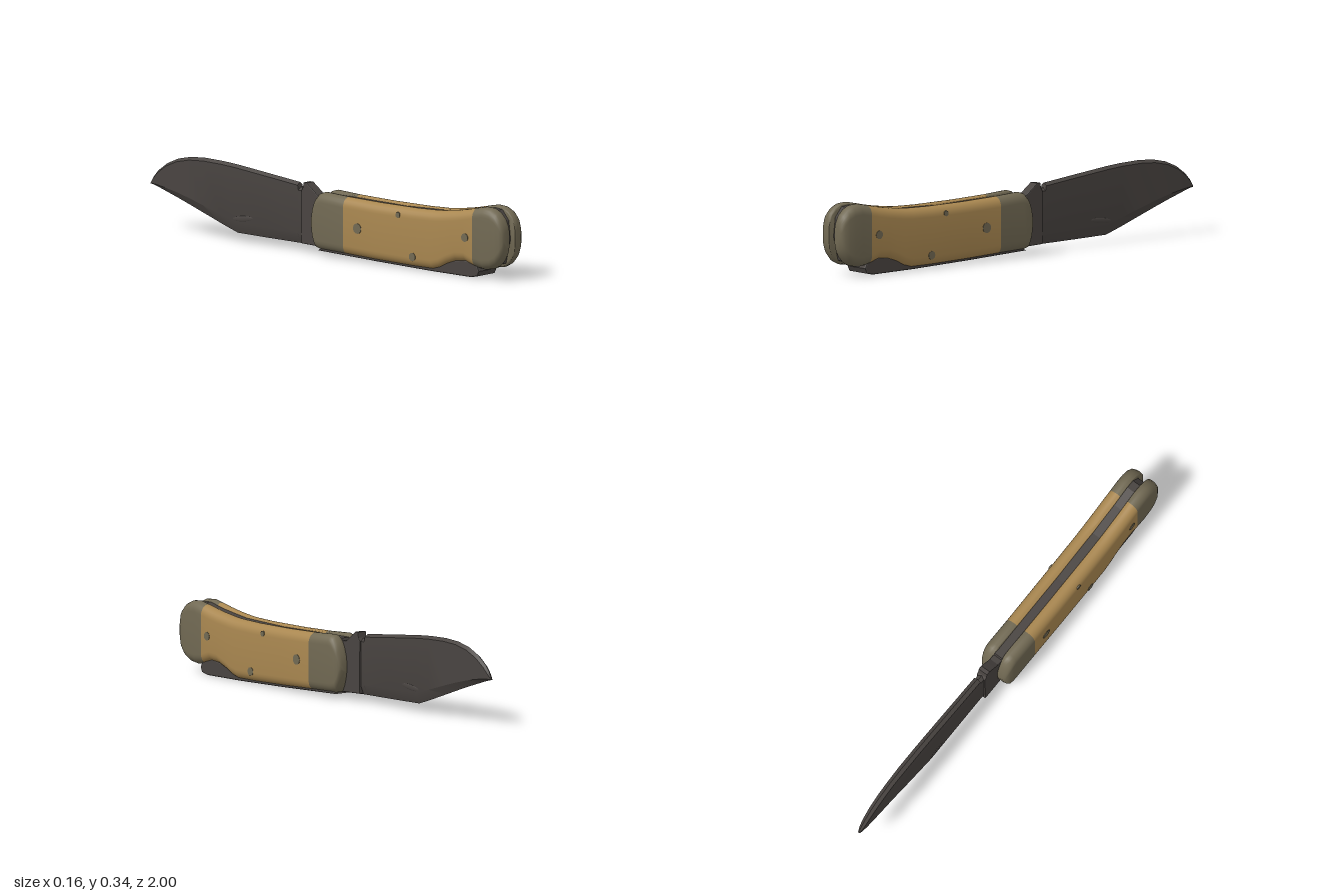
import * as THREE from 'three';
import { toCreasedNormals } from 'three/addons/utils/BufferGeometryUtils.js';

const mat = (name, color) => {
  const m = new THREE.MeshStandardMaterial({ color });
  m.name = name;
  return m;
};

// Skin over cross-sections running from front (+z) to back; rings go counter-clockwise seen from the front
function loft(rings, crease) {
  const n = rings[0].length, last = rings.length - 1, pos = rings.flat(2), idx = [];
  for (let i = 0; i < last; i++) {
    for (let j = 0; j < n; j++) {
      const k = (j + 1) % n, a = i * n + j, b = i * n + k;
      idx.push(a, a + n, b, b, a + n, b + n);
    }
  }
  for (let j = 1; j < n - 1; j++) {
    idx.push(0, j, j + 1, last * n, last * n + j + 1, last * n + j);
  }
  const geo = new THREE.BufferGeometry();
  geo.setAttribute('position', new THREE.Float32BufferAttribute(pos, 3));
  geo.setIndex(idx);
  return toCreasedNormals(geo, crease);
}

// Handle cheek cross-section: large rounding outside, small rounding inside
function cheekRing([z, top, bottom, outer], side) {
  const inner = 0.018, h = top - bottom, pts = [];
  const ro = Math.min(0.036, (outer - inner) * 0.65), ri = 0.012;
  const ryo = Math.min(0.042, h * 0.45), ryi = Math.min(ri, h * 0.4);
  const corners = [
    [outer - ro, bottom + ryo, ro, ryo], [outer - ro, top - ryo, ro, ryo],
    [inner + ri, top - ryi, ri, ryi], [inner + ri, bottom + ryi, ri, ryi],
  ];
  corners.forEach(([cx, cy, rx, ry], c) => {
    for (let s = 0; s <= 6; s++) {
      const t = (c - 1 + s / 6) * Math.PI / 2;
      pts.push([side * (cx + rx * Math.cos(t)), cy + ry * Math.sin(t), z]);
    }
  });
  return side > 0 ? pts : pts.reverse();
}

// Side profile of [z, y] points extruded across x
function plate(points, width, bevel) {
  const shape = new THREE.Shape(points.map(([z, y]) => new THREE.Vector2(-z, y)));
  const geo = new THREE.ExtrudeGeometry(shape, {
    depth: width - 2 * bevel, bevelEnabled: bevel > 0, bevelThickness: bevel,
    bevelSize: bevel, bevelOffset: -bevel, bevelSegments: 2,
  });
  return geo.translate(0, 0, bevel - width / 2).rotateY(Math.PI / 2);
}

export function createModel() {
  const model = new THREE.Group();
  const wood = mat('tan wood', 0xa98750);
  const brass = mat('aged metal', 0x716953);
  const steel = mat('dark steel', 0x494441);
  const add = (name, geo, material, parent = model) => {
    const mesh = new THREE.Mesh(geo, material);
    mesh.name = name;
    parent.add(mesh);
    return mesh;
  };

  // Stations: z, top, bottom, outer x
  const frontBolster = [
    [1.0, 0.215, 0.14, 0.056], [0.995, 0.24, 0.112, 0.064], [0.982, 0.268, 0.085, 0.071],
    [0.96, 0.29, 0.06, 0.074], [0.93, 0.304, 0.045, 0.075], [0.89, 0.307, 0.039, 0.075],
    [0.84, 0.297, 0.046, 0.075],
  ];
  const scale = [
    [0.84, 0.297, 0.046, 0.075], [0.79, 0.286, 0.063, 0.076], [0.74, 0.277, 0.059, 0.076],
    [0.69, 0.27, 0.04, 0.076], [0.65, 0.265, 0.02, 0.076], [0.61, 0.262, 0.009, 0.076],
    [0.5, 0.259, 0.009, 0.076], [0.3, 0.26, 0.014, 0.076], [0.125, 0.265, 0.02, 0.075],
  ];
  const rearBolster = [
    [0.125, 0.265, 0.02, 0.075], [0.0, 0.272, 0.024, 0.075], [-0.02, 0.266, 0.026, 0.075],
    [-0.04, 0.246, 0.031, 0.073], [-0.052, 0.222, 0.055, 0.069],
    [-0.062, 0.19, 0.09, 0.063], [-0.067, 0.16, 0.12, 0.056],
  ];

  // Two handle cheeks
  for (const side of [1, -1]) {
    const cheek = new THREE.Group();
    cheek.name = side > 0 ? 'leftCheek' : 'rightCheek';
    model.add(cheek);
    const skin = (stations) => loft(stations.map((s) => cheekRing(s, side)), 0.9);
    add('frontBolster', skin(frontBolster), brass, cheek);
    add('woodScale', skin(scale), wood, cheek);
    add('rearBolster', skin(rearBolster), brass, cheek);

    // Pins: z, y, radius
    for (const [z, y, r] of [[0.8, 0.17, 0.018], [0.205, 0.143, 0.022], [0.51, 0.055, 0.018], [0.43, 0.226, 0.012]]) {
      const pin = add('pin', new THREE.CylinderGeometry(r, r, 0.006, 20), brass, cheek);
      pin.rotation.z = Math.PI / 2;
      pin.position.set(side * 0.0745, y, z);
    }
  }

  // Spine between the cheeks
  add('spine', plate([
    [0.975, 0.17], [0.965, 0.25], [0.93, 0.293], [0.89, 0.297], [0.8, 0.278], [0.65, 0.257],
    [0.4, 0.25], [0.12, 0.256], [-0.03, 0.258], [-0.05, 0.2], [-0.05, 0.03], [0.6, 0.004],
    [0.82, 0.004], [0.87, 0.04], [0.95, 0.065],
  ], 0.042, 0.003), steel);

  // Lock bar showing along the underside and in the cheek notches
  add('lockBar', plate([
    [0.865, 0.03], [0.85, 0.06], [0.78, 0.072], [0.68, 0.055], [0.6, 0.03], [0, 0.04],
    [-0.03, 0.022], [0.3, 0.01], [0.6, 0.002], [0.82, 0], [0.855, 0.008],
  ], 0.118, 0.006), steel);

  // Thick tang with thumb step
  add('tang', plate([
    [0.02, 0.24], [-0.06, 0.25], [-0.085, 0.27], [-0.12, 0.296], [-0.138, 0.296],
    [-0.143, 0.272], [-0.152, 0.26], [-0.15, 0.034], [0.02, 0.028],
  ], 0.046, 0.004), steel);

  // Blade: z, top, bottom, half thickness
  const blade = [
    [-0.1, 0.268, 0.03, 0.016], [-0.172, 0.27, 0.031, 0.016], [-0.176, 0.291, 0.031, 0.016],
    [-0.35, 0.31, 0.033, 0.016], [-0.52, 0.328, 0.036, 0.016], [-0.6, 0.334, 0.062, 0.016],
    [-0.7, 0.337, 0.097, 0.016], [-0.78, 0.332, 0.125, 0.015], [-0.85, 0.317, 0.149, 0.015],
    [-0.91, 0.291, 0.168, 0.014], [-0.96, 0.255, 0.184, 0.012], [-0.985, 0.227, 0.191, 0.009],
    [-1.0, 0.2, 0.194, 0.004],
  ];
  add('blade', loft(blade.map(([z, top, bottom, w]) => {
    const h = top - bottom, low = bottom + h * 0.16, high = top - Math.min(0.012, h * 0.3);
    return [[0, bottom, z], [w, low, z], [w, high, z], [0, top, z], [-w, high, z], [-w, low, z]];
  }), 0.4), steel);

  // Nail nicks on both blade faces
  for (const side of [1, -1]) {
    const nick = add('nailNick', new THREE.SphereGeometry(1, 16, 8), steel);
    nick.scale.set(0.003, 0.012, 0.06);
    nick.rotation.x = -0.12;
    nick.position.set(side * 0.015, 0.102, -0.48);
  }
  return model;
}
